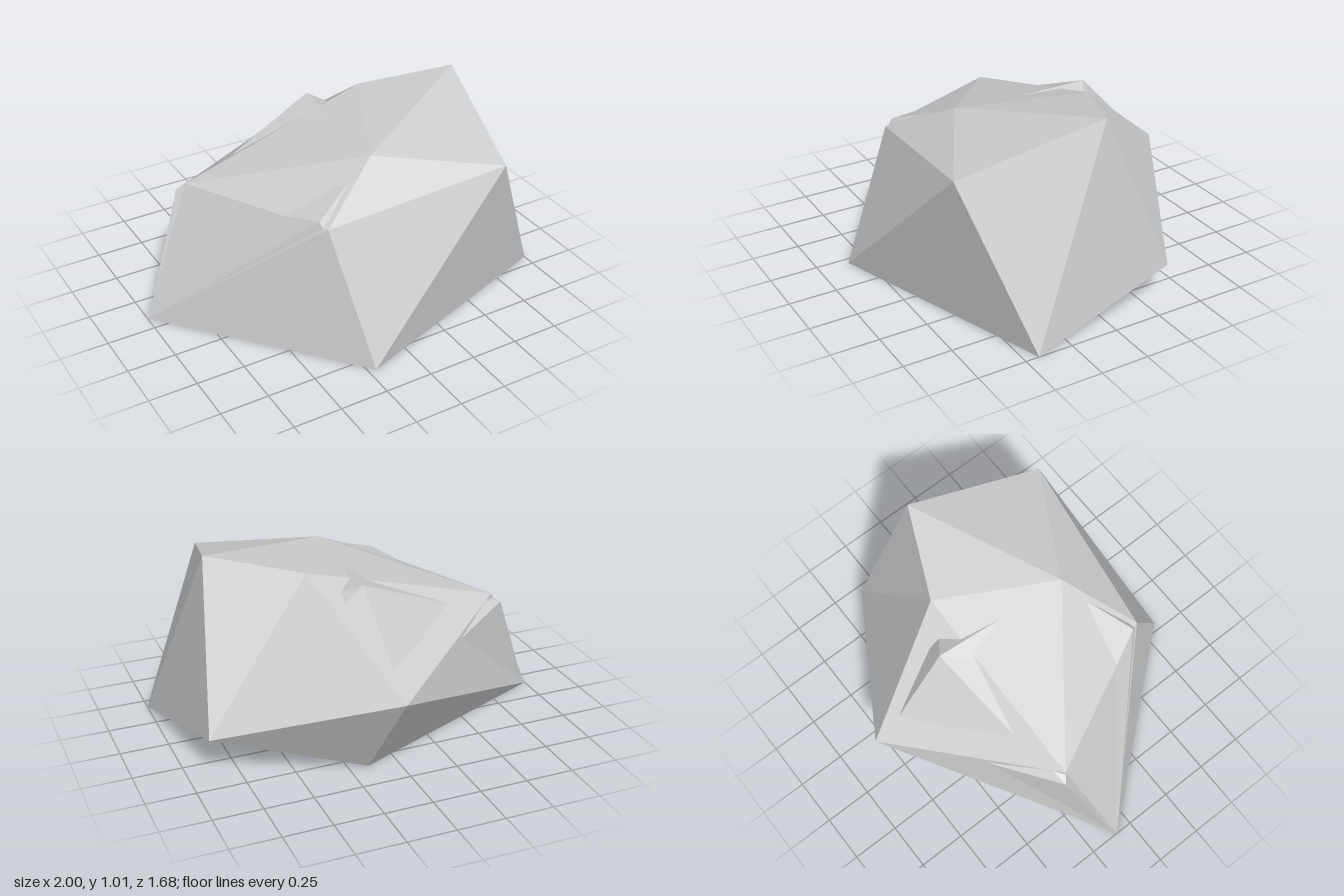
import * as THREE from 'three';

const material = new THREE.MeshStandardMaterial({ color: 0xcccccc, flatShading: true, side: THREE.DoubleSide });

// Named corners of the boulder
const P = {
  A: [-1, 0, -0.09], B: [-0.21, 0, 0.84], C: [1, 0, 0.43], D: [0.15, 0, -0.58], // footprint
  E: [0.63, 0.8, 0.66], F: [0.79, 1.01, -0.05], G: [0.89, 0.19, -0.37], H: [0.07, 0.445, -0.84], // flanks
  K: [0.34, 0.925, -0.25], L: [-0.31, 0.67, 0.55], M: [0.05, 0.865, 0.34], N: [-0.69, 0.64, -0.22], // crown
};

// Facets from triples of points, each turned to face away from the given centre
function facets(name, triangles, centre) {
  const positions = [];
  const c = new THREE.Vector3(...centre);
  for (const tri of triangles) {
    const v = tri.map((p) => new THREE.Vector3(...p));
    const normal = new THREE.Triangle(...v).getNormal(new THREE.Vector3());
    if (normal.dot(v[0].clone().sub(c)) < 0) v.reverse();
    v.forEach((p) => positions.push(p.x, p.y, p.z));
  }
  const geometry = new THREE.BufferGeometry();
  geometry.setAttribute('position', new THREE.Float32BufferAttribute(positions, 3));
  geometry.computeVertexNormals();
  const mesh = new THREE.Mesh(geometry, material);
  mesh.name = name;
  return mesh;
}

// Low pointed chip: a closed fan from its tip to a rim sunk in the boulder
function chip(name, tip, rim) {
  const triangles = rim.map((p, i) => [tip, p, rim[(i + 1) % rim.length]]);
  return facets(name, triangles, [0, 0.3, 0]);
}

export function createModel() {
  const group = new THREE.Group();
  group.name = 'rock';

  // Main twenty-sided boulder
  const faces = 'ABC ACD BCE BEL ABL CEF CFG CGD DGH DHA AHN ANL LNM LEM EFM FMK MNK NKH KHG FKG';
  const triangles = faces.split(' ').map((f) => [...f].map((k) => P[k]));
  group.add(facets('boulder', triangles, [0, 0.4, 0]));

  // Ridge breaking through the rear of the crown
  group.add(chip('rearRidge', [0.1, 0.875, -0.38], [
    [0.07, 0.855, 0.05], [-0.03, 0.815, -0.24], [-0.44, 0.65, -0.3], [0.07, 0.56, -0.68],
    [0.19, 0.79, -0.38], [0.19, 0.83, -0.32], [0.11, 0.86, -0.24],
  ]));

  // Chipped edges at the two right-hand corners
  group.add(chip('rearChip', [-0.73, 0.6, -0.25], [
    [-0.68, 0.62, -0.21], [-0.64, 0.625, -0.26], [-0.39, 0.55, -0.48], [-0.97, 0.03, -0.11],
  ]));
  group.add(chip('frontChip', [-0.33, 0.695, 0.505], [
    [-0.08, 0.8, 0.38], [-0.28, 0.68, 0.515], [-0.32, 0.66, 0.53], [-0.97, 0.03, -0.06], [-0.45, 0.65, 0.27],
  ]));
  return group;
}
